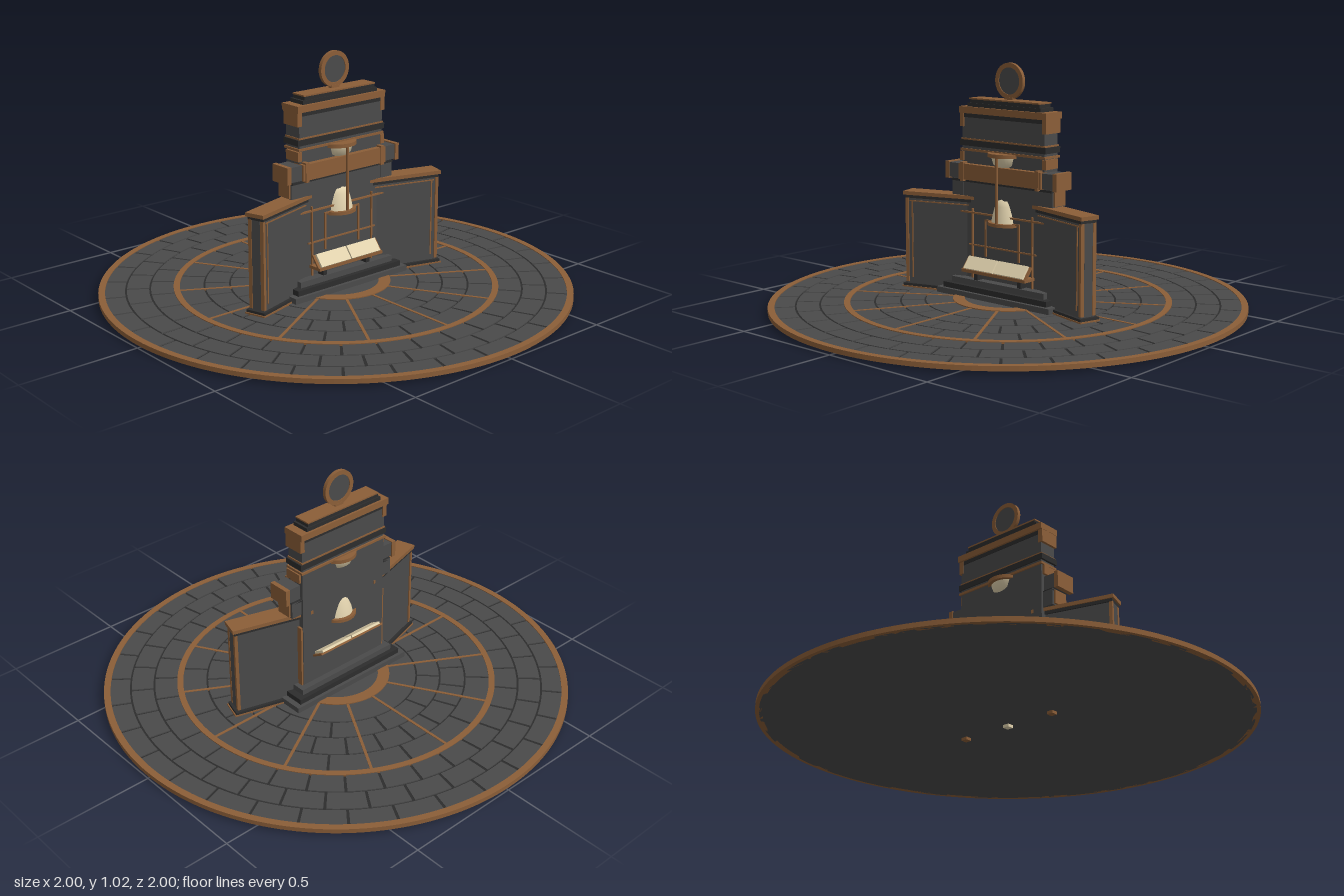
import * as THREE from 'three';
import { mergeGeometries } from 'three/addons/utils/BufferGeometryUtils.js';

const mat = (name, color) => {
  const m = new THREE.MeshStandardMaterial({ color });
  m.name = name;
  return m;
};

export function createModel() {
  const stone = mat('stone', 0x4a4a4a);
  const dark = mat('dark stone', 0x2d2d2d);
  const bronze = mat('bronze', 0x8b5e38);
  const cream = mat('cream', 0xe2d3ae);
  const root = new THREE.Group();
  root.name = 'monument';

  const add = (name, geo, material, parent = root) => {
    const m = new THREE.Mesh(geo, material);
    m.name = name;
    parent.add(m);
    return m;
  };
  // Box given by its limits on each axis
  const box = (name, material, x0, x1, y0, y1, z0, z1, parent = root) => {
    const m = add(name, new THREE.BoxGeometry(x1 - x0, y1 - y0, z1 - z0), material, parent);
    m.position.set((x0 + x1) / 2, (y0 + y1) / 2, (z0 + z1) / 2);
  };
  const disc = (name, material, r, y0, y1, seg = 96) => {
    const m = add(name, new THREE.CylinderGeometry(r, r, y1 - y0, seg), material);
    m.position.y = (y0 + y1) / 2;
  };
  // Extruded ring facing +z
  const ringGeometry = (r0, r1, depth) => {
    const s = new THREE.Shape();
    s.absarc(0, 0, r1, 0, Math.PI * 2, false);
    const hole = new THREE.Path();
    hole.absarc(0, 0, r0, 0, Math.PI * 2, true);
    s.holes.push(hole);
    return new THREE.ExtrudeGeometry(s, { depth, bevelEnabled: false, curveSegments: 96 });
  };
  const floorRing = (name, r0, r1, y0, y1) => {
    add(name, ringGeometry(r0, r1, y1 - y0).rotateX(-Math.PI / 2).translate(0, y0, 0), bronze);
  };
  // One curved paving block
  const tile = (r0, r1, a0, a1) => {
    const s = new THREE.Shape();
    s.absarc(0, 0, r1, a0, a1, false);
    s.absarc(0, 0, r0, a1, a0, true);
    const g = new THREE.ExtrudeGeometry(s, { depth: 0.006, bevelEnabled: false, curveSegments: 6 });
    return g.rotateX(-Math.PI / 2).translate(0, 0.022, 0);
  };

  // Round floor
  disc('floorSlab', stone, 0.985, 0.012, 0.02);
  disc('floorJoints', dark, 0.98, 0.02, 0.023);
  floorRing('outerRim', 0.972, 1, 0.012, 0.031);
  floorRing('middleRing', 0.662, 0.688, 0.02, 0.031);
  floorRing('innerRing', 0.182, 0.232, 0.02, 0.032);
  disc('centreStone', stone, 0.182, 0.02, 0.029);

  // Staggered paving: inner radius, outer radius, block count, offset
  const courses = [
    [0.232, 0.345, 12, 0], [0.353, 0.447, 24, 0], [0.455, 0.555, 24, 0.5], [0.563, 0.662, 24, 0],
    [0.688, 0.782, 32, 0.5], [0.79, 0.882, 32, 0], [0.89, 0.972, 32, 0.5],
  ];
  const tiles = [];
  for (const [r0, r1, n, off] of courses) {
    const step = Math.PI * 2 / n, gap = 0.006 / r1;
    for (let i = 0; i < n; i++) tiles.push(tile(r0, r1, (i + off) * step + gap, (i + 1 + off) * step - gap));
  }
  add('pavingBlocks', mergeGeometries(tiles), stone);

  const spokes = [];
  for (let i = 0; i < 12; i++) {
    spokes.push(new THREE.BoxGeometry(0.435, 0.008, 0.012).translate(0.447, 0.026, 0).rotateY(i * Math.PI / 6));
  }
  add('floorSpokes', mergeGeometries(spokes), bronze);

  // Small feet under the floor
  for (const [x, m] of [[-0.23, bronze], [0, cream], [0.23, bronze]]) {
    box('underFoot', m, x - 0.014, x + 0.014, 0, 0.013, -0.014, 0.014);
  }

  // Stepped plinth
  [[0.31, 0.11, 0.052], [0.285, 0.095, 0.075], [0.255, 0.075, 0.1]].forEach(([w, d, top], i) => {
    box('plinthStep', i === 1 ? dark : stone, -w, w, 0.028, top, -d, d);
  });

  // Angled side wings
  for (const s of [1, -1]) {
    const wing = new THREE.Group();
    wing.name = s > 0 ? 'leftWing' : 'rightWing';
    wing.position.set(s * 0.33, 0, 0.04);
    wing.rotation.y = -s * 0.285;
    root.add(wing);
    box('wingFoot', dark, -0.18, 0.18, 0.028, 0.045, -0.045, 0.045, wing);
    box('wingFootTrim', bronze, -0.185, 0.185, 0.022, 0.034, -0.048, 0.048, wing);
    box('wingPanel', stone, -0.165, 0.165, 0.045, 0.435, -0.032, 0.032, wing);
    box('wingCapBase', dark, -0.17, 0.17, 0.422, 0.436, -0.038, 0.038, wing);
    box('wingCap', bronze, -0.178, 0.178, 0.435, 0.451, -0.043, 0.043, wing);
    for (const x of [-0.163, 0.163]) {
      for (const z of [-0.029, 0.029]) box('wingEdge', bronze, x - 0.007, x + 0.007, 0.05, 0.425, z - 0.008, z + 0.008, wing);
    }
    box('wingEndPanel', stone, s * 0.163 - 0.006, s * 0.163 + 0.006, 0.05, 0.425, -0.02, 0.02, wing);
    box('wingInlay', bronze, s * 0.138 - 0.003, s * 0.138 + 0.003, 0.07, 0.41, 0.03, 0.035, wing);
    box('wingTopInlay', bronze, -0.15, 0.15, 0.407, 0.412, 0.03, 0.035, wing);
  }

  // Tower shaft with mirrored trim
  box('towerShaft', stone, -0.225, 0.225, 0.09, 0.8, -0.048, 0.035);
  for (const s of [1, -1]) {
    const side = (name, m, x, w, ...limits) => box(name, m, s * x - w / 2, s * x + w / 2, ...limits);
    side('sidePilaster', bronze, 0.226, 0.016, 0.1, 0.385, -0.045, 0);
    side('nicheEdge', bronze, 0.165, 0.007, 0.1, 0.4, 0.03, 0.043);
    side('innerFrameSide', bronze, 0.092, 0.007, 0.2, 0.36, 0.03, 0.041);
    side('shoulderBlock', stone, 0.245, 0.06, 0.45, 0.52, -0.04, 0.045);
    side('shoulderTrim', bronze, 0.277, 0.012, 0.455, 0.515, -0.03, 0.038);
    side('bandEndBlock', stone, 0.257, 0.06, 0.525, 0.588, -0.035, 0.052);
    side('bandEndCap', bronze, 0.295, 0.02, 0.52, 0.592, -0.04, 0.057);
    side('bandBracket', bronze, 0.205, 0.018, 0.515, 0.597, 0.03, 0.064);
    side('upperCornerPost', bronze, 0.225, 0.022, 0.745, 0.805, -0.052, 0.039);
    side('lowerCornerPost', bronze, 0.225, 0.02, 0.6, 0.64, -0.04, 0.039);
  }
  box('nicheRail', bronze, -0.23, 0.23, 0.378, 0.385, 0.03, 0.044);
  box('innerFrameTop', bronze, -0.095, 0.095, 0.353, 0.36, 0.03, 0.041);
  box('lowerRail', bronze, -0.185, 0.185, 0.24, 0.246, 0.03, 0.041);

  // Horizontal bands and crown
  box('shoulderBand', stone, -0.225, 0.225, 0.45, 0.515, -0.045, 0.042);
  box('shoulderLine', dark, -0.275, 0.275, 0.512, 0.522, -0.04, 0.05);
  box('mainBand', bronze, -0.225, 0.225, 0.522, 0.59, 0, 0.06);
  box('upperLine', bronze, -0.232, 0.232, 0.643, 0.653, -0.055, 0.04);
  box('upperLedge', dark, -0.235, 0.235, 0.665, 0.69, -0.053, 0.04);
  box('upperLedgeTrim', bronze, -0.229, 0.229, 0.69, 0.697, -0.051, 0.038);
  box('crownUnderside', dark, -0.229, 0.229, 0.785, 0.803, -0.051, 0.037);
  box('crown', bronze, -0.237, 0.237, 0.802, 0.83, -0.06, 0.042);
  box('crownStep', dark, -0.2, 0.2, 0.83, 0.846, -0.05, 0.03);
  box('crownTop', dark, -0.19, 0.19, 0.846, 0.861, -0.045, 0.026);
  box('crownPlate', bronze, -0.192, 0.192, 0.861, 0.867, -0.047, 0.028);

  // Upright medallion on the crown
  box('medallionFoot', bronze, -0.022, 0.022, 0.866, 0.878, -0.022, -0.004);
  add('medallionRim', ringGeometry(0.056, 0.075, 0.016), bronze).position.set(0, 0.945, -0.021);
  const face = add('medallionFace', new THREE.CylinderGeometry(0.058, 0.058, 0.009, 48), stone);
  face.rotation.x = Math.PI / 2;
  face.position.set(0, 0.945, -0.013);

  // Hourglass running through the tower
  const sand = (name, points) => {
    add(name, new THREE.LatheGeometry(points.map(([r, y]) => new THREE.Vector2(r, y)), 32), cream);
  };
  disc('hourglassTopPlate', bronze, 0.085, 0.632, 0.648, 40);
  disc('hourglassBottomPlate', bronze, 0.085, 0.344, 0.358, 40);
  sand('upperSand', [[0, 0.572], [0.035, 0.58], [0.062, 0.6], [0.07, 0.632]]);
  sand('lowerSand', [[0.07, 0.358], [0.065, 0.385], [0.054, 0.425], [0.042, 0.455], [0, 0.468]]);
  box('hourglassRod', bronze, -0.004, 0.004, 0.358, 0.635, 0.068, 0.077);

  // Open books on sloping stands, front and back
  const book = (name, y, z, tilt) => {
    const g = new THREE.Group();
    g.name = name;
    g.position.set(0, y, z);
    g.rotation.x = tilt;
    root.add(g);
    box('bookStand', bronze, -0.175, 0.175, -0.008, 0, -0.032, 0.032, g);
    for (const x of [-0.083, 0.083]) box('bookPages', cream, x - 0.08, x + 0.08, 0, 0.01, -0.03, 0.03, g);
  };
  book('frontBook', 0.17, 0.075, 0.9);
  book('backBook', 0.247, -0.075, 0.55);
  box('frontBookShelf', bronze, -0.175, 0.175, 0.135, 0.148, 0.03, 0.1);
  for (const x of [-0.12, 0.12]) box('shelfSupport', dark, x - 0.01, x + 0.01, 0.1, 0.136, 0.03, 0.07);

  return root;
}
